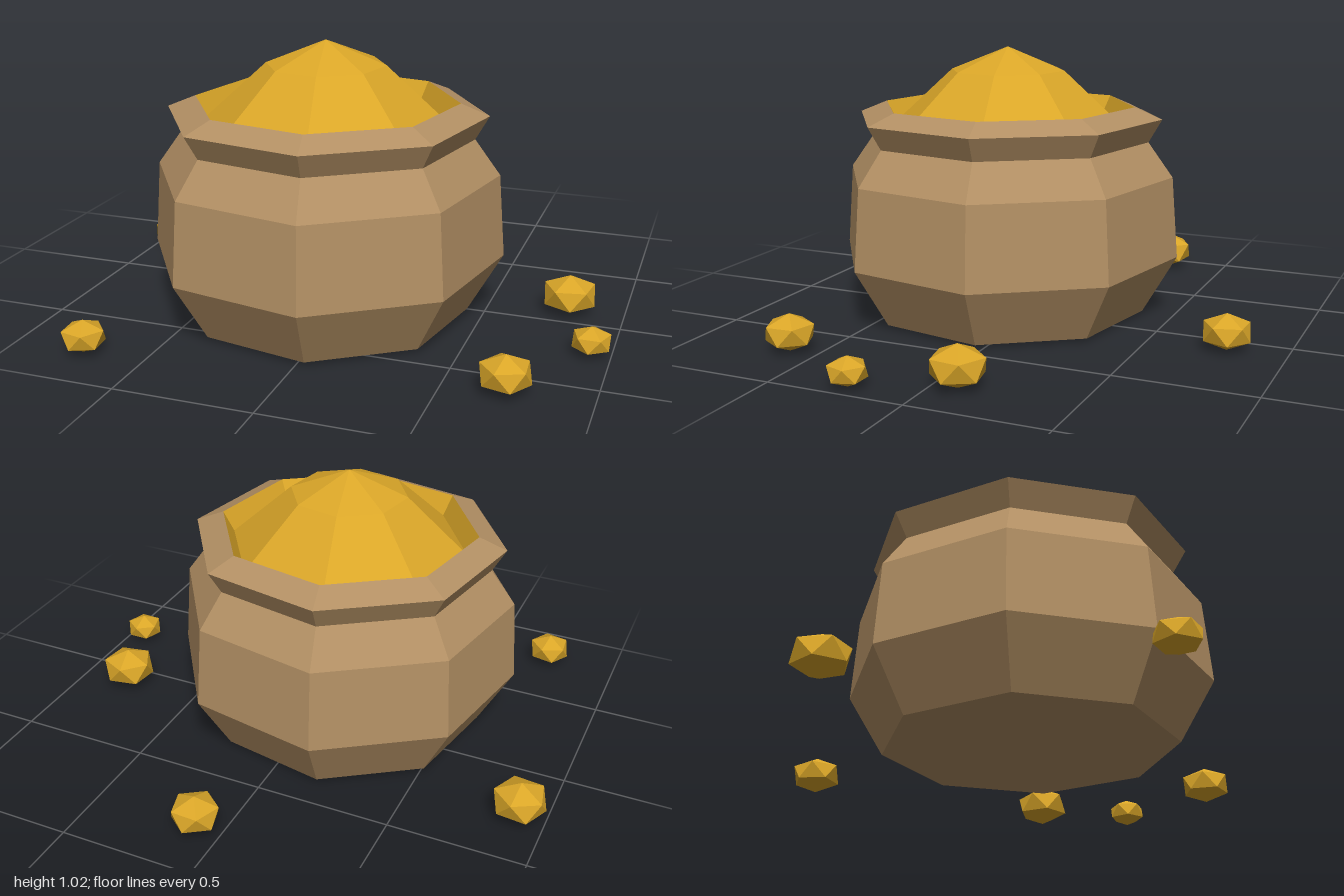
import * as THREE from 'three';

export function createModel() {
  const model = new THREE.Group();

  const clay = new THREE.MeshStandardMaterial({ color: 0xb39064, flatShading: true });
  clay.name = 'clay brown';
  const gold = new THREE.MeshStandardMaterial({ color: 0xdaa628, flatShading: true });
  gold.name = 'gold';

  // Eight-sided turned shape from [radius, height] pairs
  const turned = (name, profile, material) => {
    const points = profile.map(([r, y]) => new THREE.Vector2(r, y));
    const mesh = new THREE.Mesh(new THREE.LatheGeometry(points, 8), material);
    mesh.name = name;
    return mesh;
  };

  const pot = new THREE.Group();
  pot.name = 'potOfGold';
  pot.position.set(-0.075, 0, 0.13);
  pot.rotation.y = 0.2;
  model.add(pot);

  // Pot: base, belly, neck and flared rim
  pot.add(turned('pot', [
    [0, 0.015], [0.525, 0.015], [0.653, 0.235], [0.63, 0.54],
    [0.537, 0.67], [0.587, 0.757], [0.483, 0.8],
  ], clay));

  // Gold inside the rim, rising to a faceted heap
  pot.add(turned('goldLining', [[0.483, 0.8], [0.442, 0.725]], gold));
  pot.add(turned('goldHeap', [[0.442, 0.725], [0.218, 0.93], [0, 1.018]], gold));

  // Loose nuggets: flattened icosahedra standing on a corner
  const nuggetShape = new THREE.IcosahedronGeometry(1, 0);
  nuggetShape.rotateZ(-Math.atan(2 / (1 + Math.sqrt(5))));
  const nuggets = [
    // x, z, radius, turn
    [-0.904, -0.265, 0.105, 0.2],
    [0.099, -0.786, 0.096, 0.9],
    [0.8, -0.09, 0.107, 0.5],
    [0.93, 0.24, 0.075, 0.3],
    [0.711, 0.61, 0.097, 0.7],
    [-0.73, 0.786, 0.085, 0.1],
  ];
  nuggets.forEach(([x, z, r, turn], i) => {
    const nugget = new THREE.Mesh(nuggetShape, gold);
    nugget.name = `nugget${i + 1}`;
    nugget.scale.set(r, r * 0.7, r);
    nugget.position.set(x, r * 0.7 + 0.002, z);
    nugget.rotation.y = turn;
    model.add(nugget);
  });

  return model;
}
